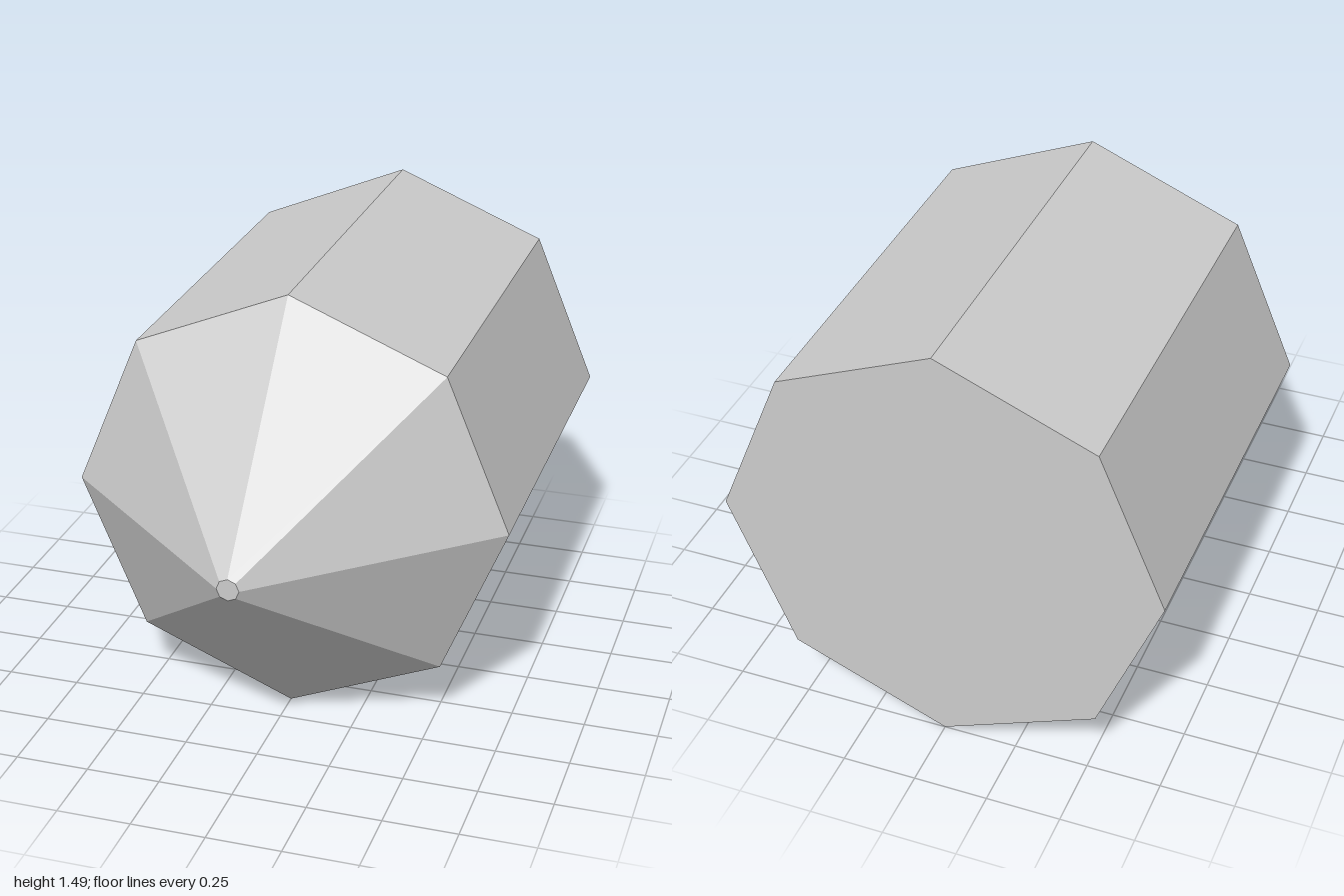
import * as THREE from 'three';

const SIDES = 8;
const RADIUS = 0.743;
const TIP_RADIUS = 0.037;
const BACK = -1;
const SHOULDER = 0.382;
const FRONT = 1;

export function createModel() {
  const group = new THREE.Group();
  group.name = 'pointedOctagonalBlock';
  const grey = new THREE.MeshStandardMaterial({ color: 0xcccccc, flatShading: true });
  grey.name = 'light grey';

  const add = (name, geometry, z) => {
    const mesh = new THREE.Mesh(geometry, grey);
    mesh.name = name;
    mesh.position.set(0, RADIUS, z);
    group.add(mesh);
  };

  // Open eight-sided section running along z
  const section = (name, rFront, rBack, z0, z1) => {
    const geometry = new THREE.CylinderGeometry(rFront, rBack, z1 - z0, SIDES, 1, true);
    add(name, geometry.rotateX(Math.PI / 2), (z0 + z1) / 2);
  };

  section('body', RADIUS, RADIUS, BACK, SHOULDER);
  section('nose', TIP_RADIUS, RADIUS, SHOULDER, FRONT);

  // Flat end faces
  add('noseTip', new THREE.CircleGeometry(TIP_RADIUS, SIDES), FRONT);
  add('backFace', new THREE.CircleGeometry(RADIUS, SIDES).rotateY(Math.PI), BACK);

  return group;
}
